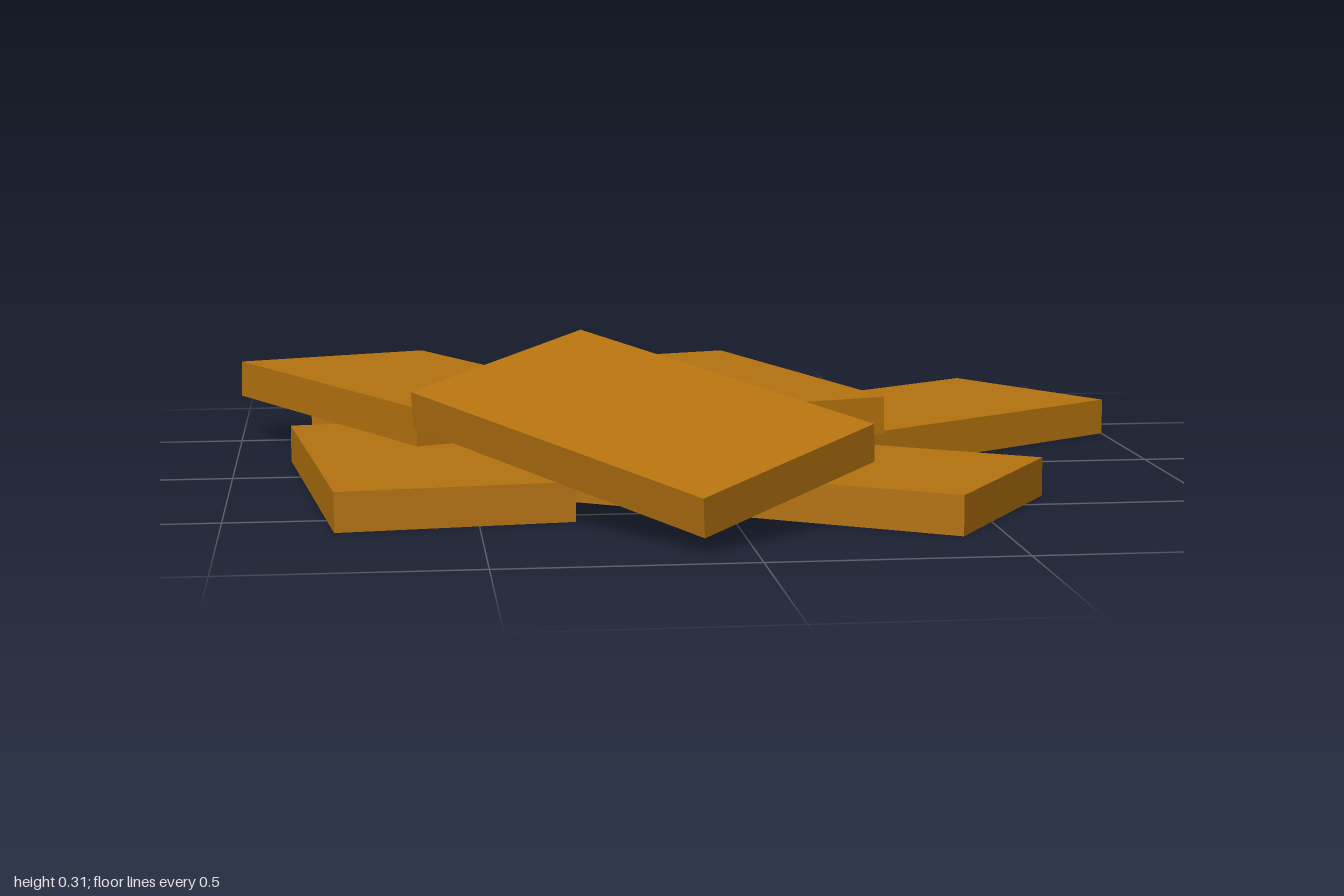
import * as THREE from 'three';

const WIDTH = 0.474, THICK = 0.08, LENGTH = 0.838;

export function createModel() {
  const group = new THREE.Group();
  const wood = new THREE.MeshStandardMaterial({ color: 0xb5730f });
  wood.name = 'amber brown';
  const geometry = new THREE.BoxGeometry(WIDTH, THICK, LENGTH);

  // One slab: its centre, the direction of its long side, and the direction of its short side
  function slab(name, center, long, side) {
    const z = new THREE.Vector3(...long).normalize();
    const x = side ? new THREE.Vector3(...side) : new THREE.Vector3(z.z, 0, -z.x);
    const y = new THREE.Vector3().crossVectors(z, x).normalize();
    x.crossVectors(y, z);
    const mesh = new THREE.Mesh(geometry, wood);
    mesh.name = name;
    mesh.quaternion.setFromRotationMatrix(new THREE.Matrix4().makeBasis(x, y, z));
    mesh.position.set(...center);
    group.add(mesh);
  }

  // Bottom layer, flat on the ground
  slab('backLeftSlab', [-0.359, 0.04, -0.518], [0.852, 0, 0.524]);
  slab('backRightSlab', [0.52, 0.04, -0.333], [-0.835, 0, 0.55]);
  slab('frontRightSlab', [0.185, 0.04, 0.383], [0.847, 0, 0.53]);
  slab('frontLeftSlab', [-0.595, 0.04, 0.184], [0.1, 0, 0.835]);

  // Second layer
  slab('middleSlab', [0.039, 0.128, -0.22], [0.25, 0, 0.8]);
  slab('upperLeftSlab', [-0.595, 0.13, -0.2975], [0.39, -0.005, 0.745], [0.42, -0.009, -0.22]);

  // Top slab, leaning forward
  slab('leaningSlab', [-0.176, 0.17, 0.46], [0.52, -0.113, 0.645], [0.37, 0.085, -0.27]);

  return group;
}
